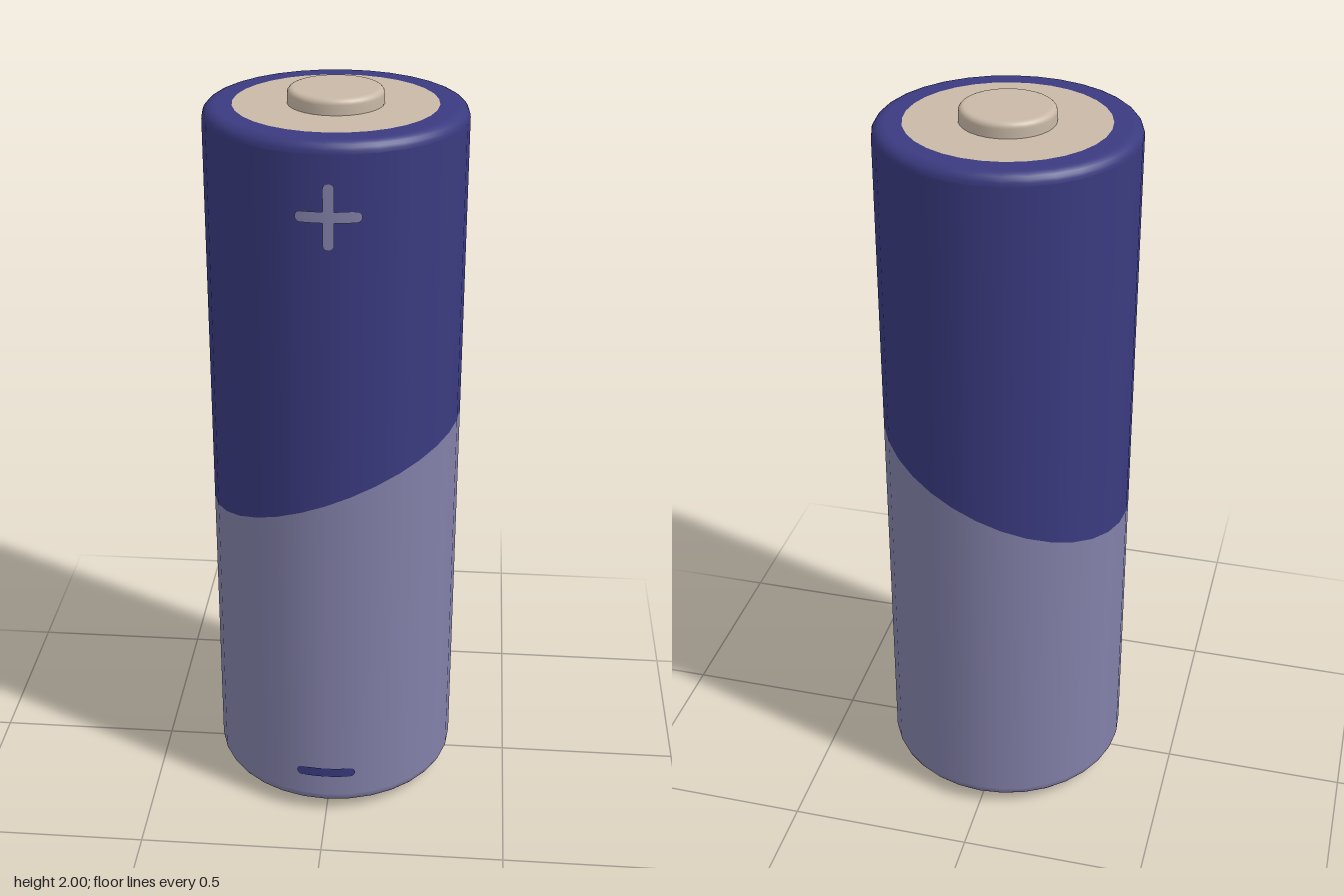
import * as THREE from 'three';

const R = 0.336, SEG = 32;
const BOTTOM = 0.03, TOP = 1.96, ROUND = 0.03;

const mat = (name, color, side = THREE.FrontSide) => {
  const m = new THREE.MeshStandardMaterial({ color, side });
  m.name = name;
  return m;
};

// Quarter-round profile points about (cx, cy), from angle a0 to a1
function arc(cx, cy, r, a0, a1, n = 6) {
  return Array.from({ length: n + 1 }, (_, i) => {
    const a = a0 + (a1 - a0) * i / n;
    return new THREE.Vector2(cx + r * Math.cos(a), cy + r * Math.sin(a));
  });
}

// Wrap a flat XY geometry around the front of the can
function wrap(geo, r) {
  const p = geo.attributes.position, n = geo.attributes.normal;
  for (let i = 0; i < p.count; i++) {
    const a = p.getX(i) / r;
    p.setXYZ(i, r * Math.sin(a), p.getY(i), r * Math.cos(a));
    n.setXYZ(i, Math.sin(a), 0, Math.cos(a));
  }
  return geo;
}

export function createModel() {
  const model = new THREE.Group();
  model.name = 'battery';
  const navy = mat('navy', 0x3a3a80);
  const lilac = mat('greyLilac', 0x8280a8);
  const metal = mat('beigeMetal', 0xc8b8a6);
  const V = (x, y) => new THREE.Vector2(x, y);

  const add = (name, geo, material, parent = model) => {
    const mesh = new THREE.Mesh(geo, material);
    mesh.name = name;
    parent.add(mesh);
    return mesh;
  };
  const lathe = (name, pts, material) => add(name, new THREE.LatheGeometry(pts, SEG), material);

  // Wall between two heights; the chosen end is sheared along the slanted colour split
  function wall(name, y0, y1, slantedTop, material) {
    const geo = new THREE.CylinderGeometry(R, R, y1 - y0, SEG, 1, true);
    geo.translate(0, (y0 + y1) / 2, 0);
    const p = geo.attributes.position, mid = (y0 + y1) / 2;
    for (let i = 0; i < p.count; i++) {
      if ((p.getY(i) > mid) === slantedTop) p.setY(i, p.getY(i) + 0.395 * p.getX(i));
    }
    add(name, geo, material);
  }
  const split = 0.993;
  wall('lowerWall', BOTTOM + ROUND, split, true, lilac);
  wall('upperWall', split, TOP - ROUND, false, navy);

  // Rounded rims at both ends
  lathe('topRim', [...arc(R - ROUND, TOP - ROUND, ROUND, 0, Math.PI / 2), V(0.3, TOP), V(0.26, TOP)], navy);
  lathe('bottomRim', [V(0.275, BOTTOM), V(0.3, BOTTOM),
    ...arc(R - ROUND, BOTTOM + ROUND, ROUND, -Math.PI / 2, 0)], lilac);

  // Metal end plates
  const topPlate = add('topPlate', new THREE.CircleGeometry(0.26, SEG), metal);
  topPlate.rotation.set(-Math.PI / 2, 0, Math.PI / 2);
  topPlate.position.y = TOP;
  const bottomPlate = add('bottomPlate', new THREE.CircleGeometry(0.275, SEG), metal);
  bottomPlate.rotation.set(Math.PI / 2, 0, Math.PI / 2);
  bottomPlate.position.y = BOTTOM;

  // Positive button and negative contact
  lathe('positiveButton', [V(0.122, TOP), V(0.122, 1.975),
    ...arc(0.107, 1.985, 0.015, 0, Math.PI / 2), V(0.1, 2), V(0, 2)], metal);
  lathe('negativeContact', [V(0, 0), V(0.22, 0),
    ...arc(0.228, 0.02, 0.02, -Math.PI / 2, 0), V(0.248, BOTTOM)], metal);

  // Painted polarity signs: round-ended bars wrapped on the wall
  function bar(group, length, thick, x, y, vertical, material) {
    const r = thick / 2, half = length / 2 - r;
    const pieces = [new THREE.PlaneGeometry(half * 2, thick, 8, 2)];
    for (const s of [-1, 1]) {
      pieces.push(new THREE.CircleGeometry(r, 8, s > 0 ? -Math.PI / 2 : Math.PI / 2, Math.PI)
        .translate(s * half, 0, 0));
    }
    for (const g of pieces) {
      if (vertical) g.rotateZ(Math.PI / 2);
      g.translate(x, y, 0);
      add('signBar', wrap(g, R + 0.003), material, group);
    }
  }
  const plus = new THREE.Group();
  plus.name = 'plusSign';
  bar(plus, 0.164, 0.028, 0.01, 1.777, false, lilac);
  bar(plus, 0.168, 0.028, 0.01, 1.777, true, lilac);
  const minus = new THREE.Group();
  minus.name = 'minusSign';
  bar(minus, 0.164, 0.028, 0, 0.14, false, navy);
  model.add(plus, minus);

  return model;
}
